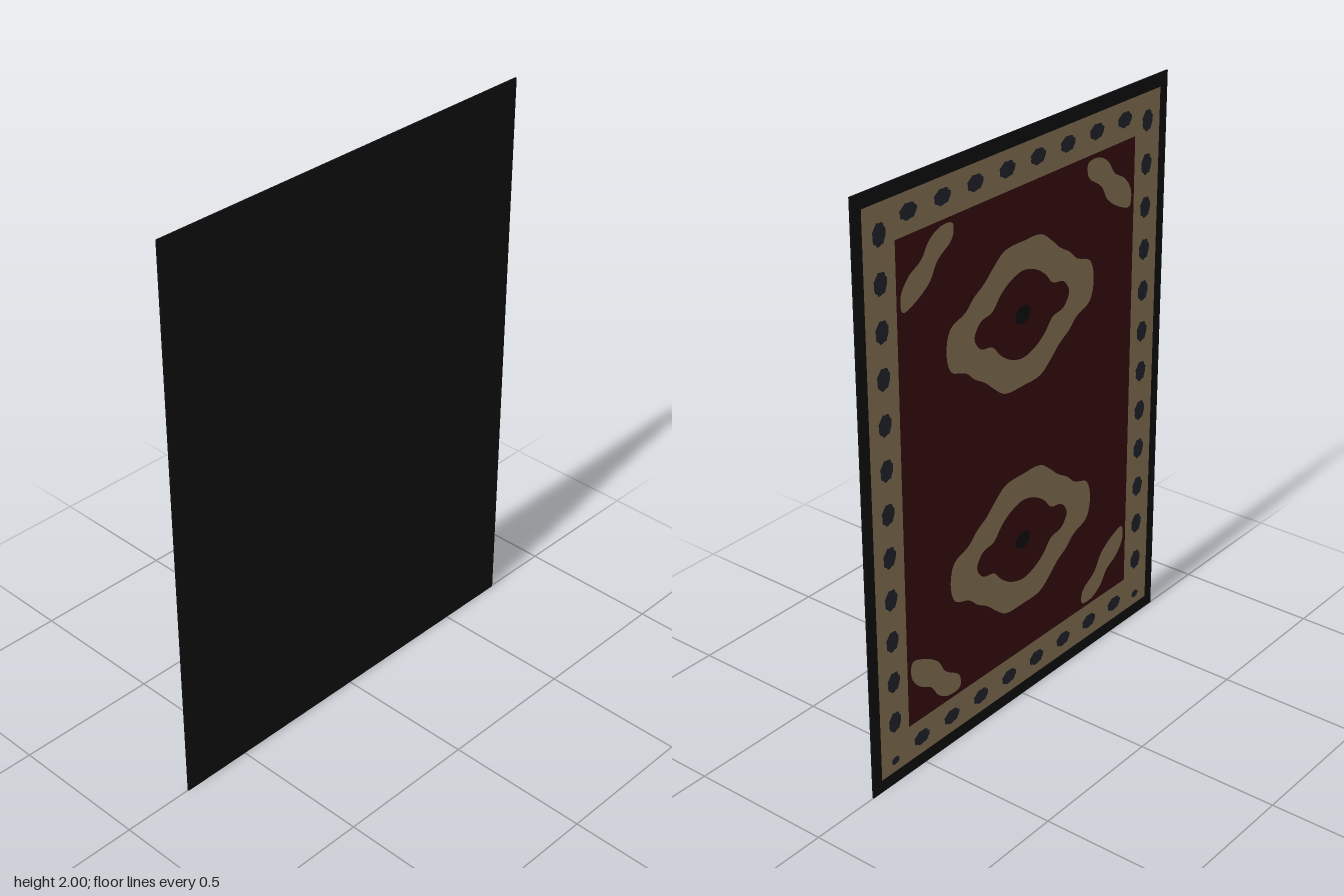
import * as THREE from 'three';

const black = new THREE.MeshStandardMaterial({ name: 'black backing', color: 0x0e0e0e });
const tan = new THREE.MeshStandardMaterial({ name: 'tan wool', color: 0x826f53 });
const red = new THREE.MeshStandardMaterial({ name: 'dark red wool', color: 0x360c0e });
const navy = new THREE.MeshStandardMaterial({ name: 'navy wool', color: 0x20202b });

// Closed smooth outline through a few [x, y] points
function smooth(points) {
  const curve = new THREE.CatmullRomCurve3(points.map(([x, y]) => new THREE.Vector3(x, y, 0)), true);
  return curve.getPoints(points.length * 4).map((p) => new THREE.Vector2(p.x, p.y));
}

// Mirrors a quarter outline (from the x axis to the y axis) into a full loop
function fourWay(q) {
  const half = [...q, ...q.slice(0, -1).reverse().map(([x, y]) => [-x, y])];
  return [...half, ...half.slice(1, -1).reverse().map(([x, y]) => [x, -y])];
}

function rect(hw, hh) {
  return [[-hw, -hh], [hw, -hh], [hw, hh], [-hw, hh]].map(([x, y]) => new THREE.Vector2(x, y));
}

// Slightly ragged oval
function oval(rx, ry) {
  const pts = [];
  for (let i = 0; i < 20; i++) {
    const a = (i / 20) * Math.PI * 2;
    const r = 1 + 0.08 * Math.sin(i * 2.3);
    pts.push(new THREE.Vector2(Math.cos(a) * rx * r, Math.sin(a) * ry * r));
  }
  return pts;
}

export function createModel() {
  const rug = new THREE.Group();
  rug.name = 'rug';

  // Flat pattern piece on the patterned side, which faces -z
  function inlay(name, outline, material, x, y, z, hole) {
    const shape = new THREE.Shape(outline);
    if (hole) shape.holes.push(new THREE.Path(hole));
    const mesh = new THREE.Mesh(new THREE.ShapeGeometry(shape), material);
    mesh.name = name;
    mesh.rotation.y = Math.PI;
    mesh.position.set(x, y, z);
    rug.add(mesh);
  }

  // Thin backing whose rim shows around the pattern
  const backing = new THREE.Mesh(new THREE.BoxGeometry(1.5, 2, 0.006), black);
  backing.name = 'backing';
  backing.position.set(0, 1, 0.001);
  rug.add(backing);

  // Border band and centre field
  inlay('borderBand', rect(0.71, 0.954), tan, 0, 1, -0.003, rect(0.577, 0.823));
  inlay('field', rect(0.577, 0.823), red, 0, 1, -0.003);

  // Spots along the border
  for (const s of [-1, 1]) {
    for (let i = 0; i < 12; i++) {
      inlay('sideSpot', oval(0.028, 0.036), navy, s * 0.642, 1.86 - i * 0.148, -0.004);
    }
    inlay('cornerSpot', oval(0.018, 0.014), navy, s * 0.645, 0.088, -0.004);
    for (let i = 0; i < 8; i++) {
      inlay('endSpot', oval(0.037, 0.026), navy, (i - 3.5) * 0.148, 1 + s * 0.893, -0.004);
    }
  }

  // Two scalloped medallions with a dark centre
  const outer = smooth(fourWay([[0.365, 0], [0.345, 0.07], [0.275, 0.1], [0.235, 0.135],
    [0.185, 0.165], [0.145, 0.2], [0.09, 0.238], [0, 0.243]]));
  const inner = smooth(fourWay([[0.235, 0], [0.205, 0.045], [0.15, 0.058], [0.11, 0.1],
    [0.06, 0.132], [0, 0.147]]));
  for (const y of [0.6, 1.4]) {
    inlay('medallion', outer, tan, 0, y, -0.004, inner);
    inlay('medallionCentre', oval(0.038, 0.03), black, 0, y, -0.004);
  }

  // Wavy ornament in each corner of the field
  const corner = [[0.553, 0.593], [0.56, 0.645], [0.525, 0.696], [0.468, 0.73], [0.433, 0.778],
    [0.38, 0.806], [0.327, 0.8], [0.33, 0.754], [0.398, 0.705], [0.433, 0.65], [0.504, 0.605]];
  for (const sx of [-1, 1]) {
    for (const sy of [-1, 1]) {
      inlay('cornerOrnament', smooth(corner.map(([x, y]) => [x * sx, y * sy])), tan, 0, 1, -0.004);
    }
  }
  return rug;
}
